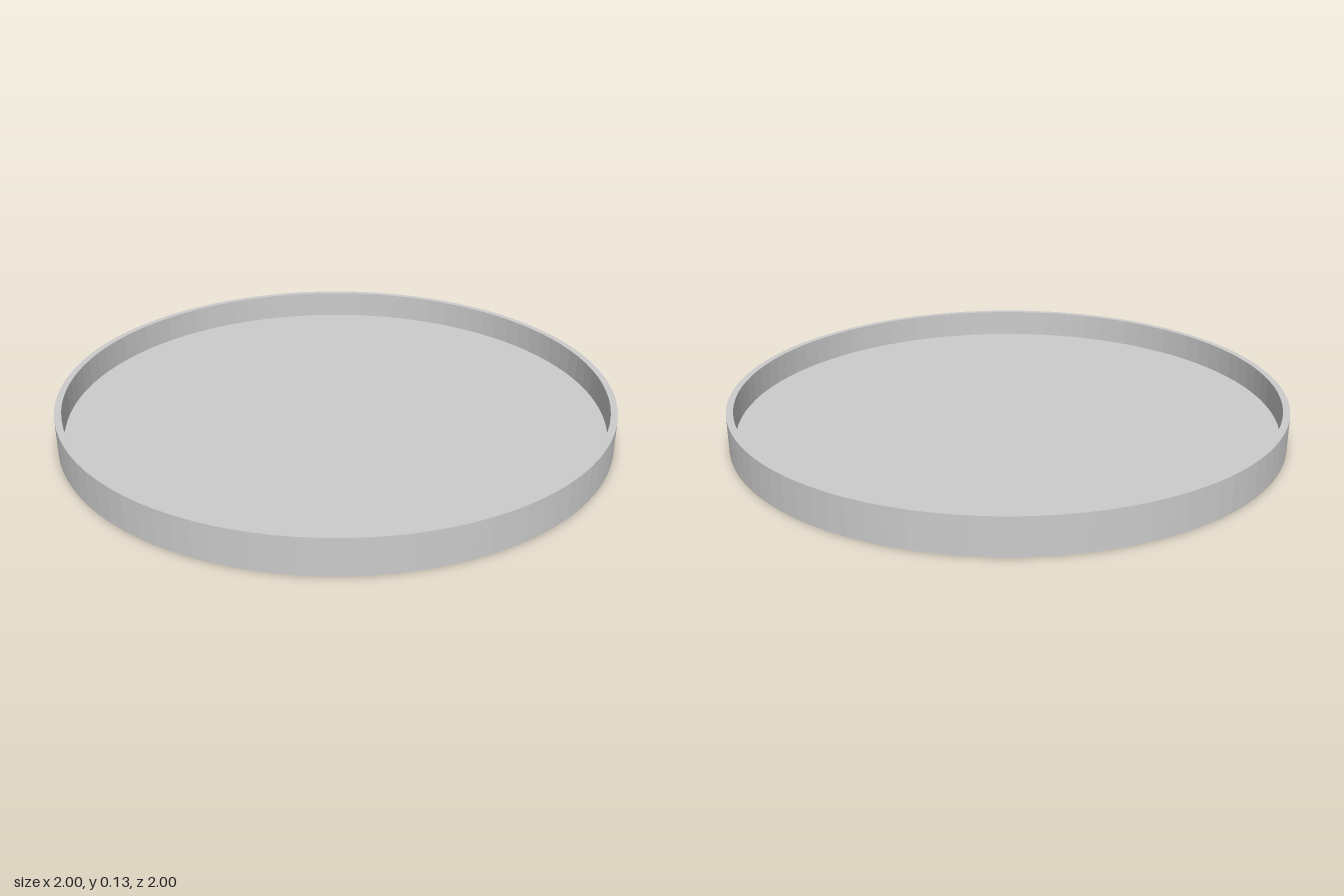
import * as THREE from 'three';

const RADIUS = 1, INNER = 0.976, HEIGHT = 0.13, FLOOR = 0.027, SIDES = 96;

export function createModel() {
  const group = new THREE.Group();
  group.name = 'roundTray';

  // Closed cross-section: underside, outer wall, rim, inner wall, floor
  const profile = [
    [0, 0], [RADIUS, 0], [RADIUS, HEIGHT],
    [INNER, HEIGHT], [INNER, FLOOR], [0, FLOOR],
  ].map(([r, y]) => new THREE.Vector2(r, y));

  const material = new THREE.MeshStandardMaterial({ color: 0xcccccc, flatShading: true });
  const tray = new THREE.Mesh(new THREE.LatheGeometry(profile, SIDES), material);
  tray.name = 'trayBody';
  group.add(tray);
  return group;
}
